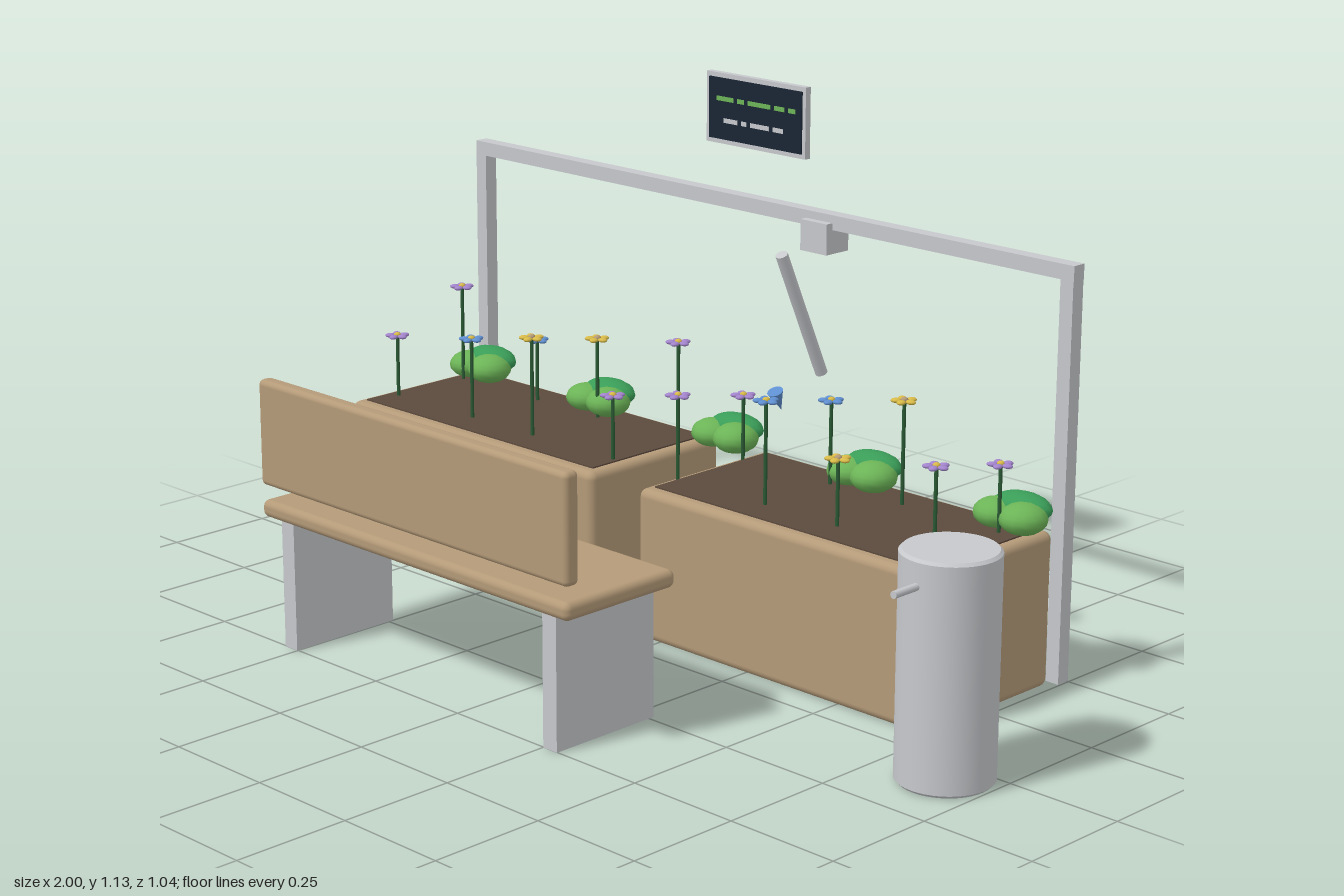
import * as THREE from 'three';
import { RoundedBoxGeometry } from 'three/addons/geometries/RoundedBoxGeometry.js';
import { toCreasedNormals } from 'three/addons/utils/BufferGeometryUtils.js';

const mat = (name, color) => {
  const m = new THREE.MeshStandardMaterial({ color });
  m.name = name;
  return m;
};

export function createModel() {
  const wood = mat('wood', 0xb49a78);
  const soil = mat('soil', 0x5c4a3d);
  const metal = mat('metal', 0xc6c8cc);
  const glass = mat('darkScreen', 0x1a2433);
  const leafDark = mat('darkLeaf', 0x3a9d58);
  const leafLight = mat('lightLeaf', 0x6cb457);
  const stemGreen = mat('stemGreen', 0x2a5a34);
  const purple = mat('purple', 0xa284cc);
  const blue = mat('blue', 0x5f8fd0);
  const yellow = mat('yellow', 0xd8ba48);

  const model = new THREE.Group();
  model.name = 'gardenStation';

  function add(name, geometry, material, x, y, z, parent = model) {
    const mesh = new THREE.Mesh(geometry, material);
    mesh.name = name;
    mesh.position.set(x, y, z);
    parent.add(mesh);
    return mesh;
  }
  // Box given by its limits on each axis; a radius rounds its edges
  function block(name, material, [x0, x1], [y0, y1], [z0, z1], radius = 0) {
    const size = [x1 - x0, y1 - y0, z1 - z0];
    const geometry = radius ? new RoundedBoxGeometry(...size, 3, radius) : new THREE.BoxGeometry(...size);
    return add(name, geometry, material, (x0 + x1) / 2, (y0 + y1) / 2, (z0 + z1) / 2);
  }

  // Planters with soil
  for (const x of [-0.985, -0.056]) {
    block('planter', wood, [x, x + 0.792], [0, 0.332], [-0.453, -0.06], 0.018);
    block('soil', soil, [x + 0.025, x + 0.767], [0.3, 0.335], [-0.43, -0.088]);
  }

  // Overhead frame
  for (const x of [-0.984, 0.73]) {
    block('framePost', metal, [x - 0.016, x + 0.016], [0, 0.862], [-0.503, -0.471]);
  }
  block('frameBeam', metal, [-1, 0.747], [0.845, 0.877], [-0.503, -0.471]);

  // Sliding carriage, tilted arm and nozzle
  block('carriage', metal, [0.038, 0.112], [0.793, 0.86], [-0.522, -0.453]);
  const tilt = 0.435;
  add('arm', new THREE.CylinderGeometry(0.0135, 0.0135, 0.31, 16), metal, 0.075, 0.665, -0.42).rotation.x = tilt;
  add('nozzle', new THREE.ConeGeometry(0.0175, 0.048, 16), blue, 0.075, 0.49, -0.35).rotation.x = tilt + Math.PI;

  // Display panel with rows of abstract dashes
  block('displayFrame', metal, [-0.268, 0.02], [0.98, 1.134], [-0.499, -0.484]);
  block('displayScreen', glass, [-0.259, 0.011], [0.99, 1.124], [-0.486, -0.4815]);
  const dashRows = [
    { material: leafLight, x: -0.236, y: 1.079, lengths: [0.05, 0.02, 0.065, 0.03, 0.02] },
    { material: metal, x: -0.214, y: 1.032, lengths: [0.04, 0.015, 0.055, 0.03] },
  ];
  for (const { material, x, y, lengths } of dashRows) {
    let start = x;
    for (const length of lengths) {
      block('displayDash', material, [start, start + length], [y - 0.005, y + 0.005], [-0.483, -0.4805]);
      start += length + 0.011;
    }
  }

  // Bench
  block('benchSeat', wood, [-0.585, 0.337], [0.28, 0.318], [0.222, 0.519], 0.015);
  block('benchBack', wood, [-0.585, 0.337], [0.35, 0.578], [0.483, 0.519], 0.012);
  for (const x of [-0.52, 0.27]) {
    block('benchLeg', metal, [x - 0.019, x + 0.019], [0, 0.282], [0.238, 0.502]);
  }

  // Water barrel with tap
  const barrelProfile = [[0, 0], [0.092, 0], [0.098, 0.006], [0.098, 0.456], [0.092, 0.462], [0, 0.462]]
    .map(([r, y]) => new THREE.Vector2(r, y));
  const barrel = toCreasedNormals(new THREE.LatheGeometry(barrelProfile, 40), 0.6);
  add('barrel', barrel, metal, 0.9, 0, 0.072);
  add('tap', new THREE.CylinderGeometry(0.0075, 0.0075, 0.08, 12), metal, 0.9, 0.409, 0.194).rotation.x = Math.PI / 2;

  // Leafy shrubs along the back
  const sphere = new THREE.SphereGeometry(1, 14, 10);
  for (let i = 0; i < 5; i++) {
    const shrub = new THREE.Group();
    shrub.name = 'shrub';
    shrub.position.set(-0.917 + i * 0.3955, 0, 0);
    model.add(shrub);
    add('leafTop', sphere, leafDark, 0.005, 0.374, -0.431, shrub).scale.set(0.07, 0.03, 0.045);
    add('leafLeft', sphere, leafLight, 0.036, 0.363, -0.396, shrub).scale.set(0.05, 0.033, 0.052);
    add('leafRight', sphere, leafLight, -0.036, 0.36, -0.402, shrub).scale.set(0.05, 0.031, 0.05);
  }

  // Flowers in two rows of eight
  function flower(x, z, height, color) {
    const group = new THREE.Group();
    group.name = 'flower';
    group.position.set(x, 0, z);
    model.add(group);
    const stemLength = height - 0.33;
    add('stem', new THREE.CylinderGeometry(0.004, 0.004, stemLength, 8), stemGreen, 0, 0.33 + stemLength / 2, 0, group);
    for (let k = 0; k < 5; k++) {
      const a = (k / 5) * Math.PI * 2;
      const petal = add('petal', sphere, color, Math.cos(a) * 0.017, height, Math.sin(a) * 0.017, group);
      petal.scale.set(0.0115, 0.005, 0.0095);
      petal.rotation.y = -a;
    }
    add('flowerCentre', sphere, color === yellow ? wood : yellow, 0, height + 0.002, 0, group).scale.set(0.008, 0.006, 0.008);
  }
  const columns = [-0.933, -0.68, -0.483, -0.23, -0.035, 0.216, 0.414, 0.668];
  const colors = [purple, blue, yellow, purple];
  columns.forEach((x, i) => {
    flower(x, -0.36, 0.477 + ((i + 2) % 3) * 0.04, colors[i % 4]);
    flower(x, -0.16, 0.477 + (i % 3) * 0.04, colors[i % 4]);
  });

  return model;
}
